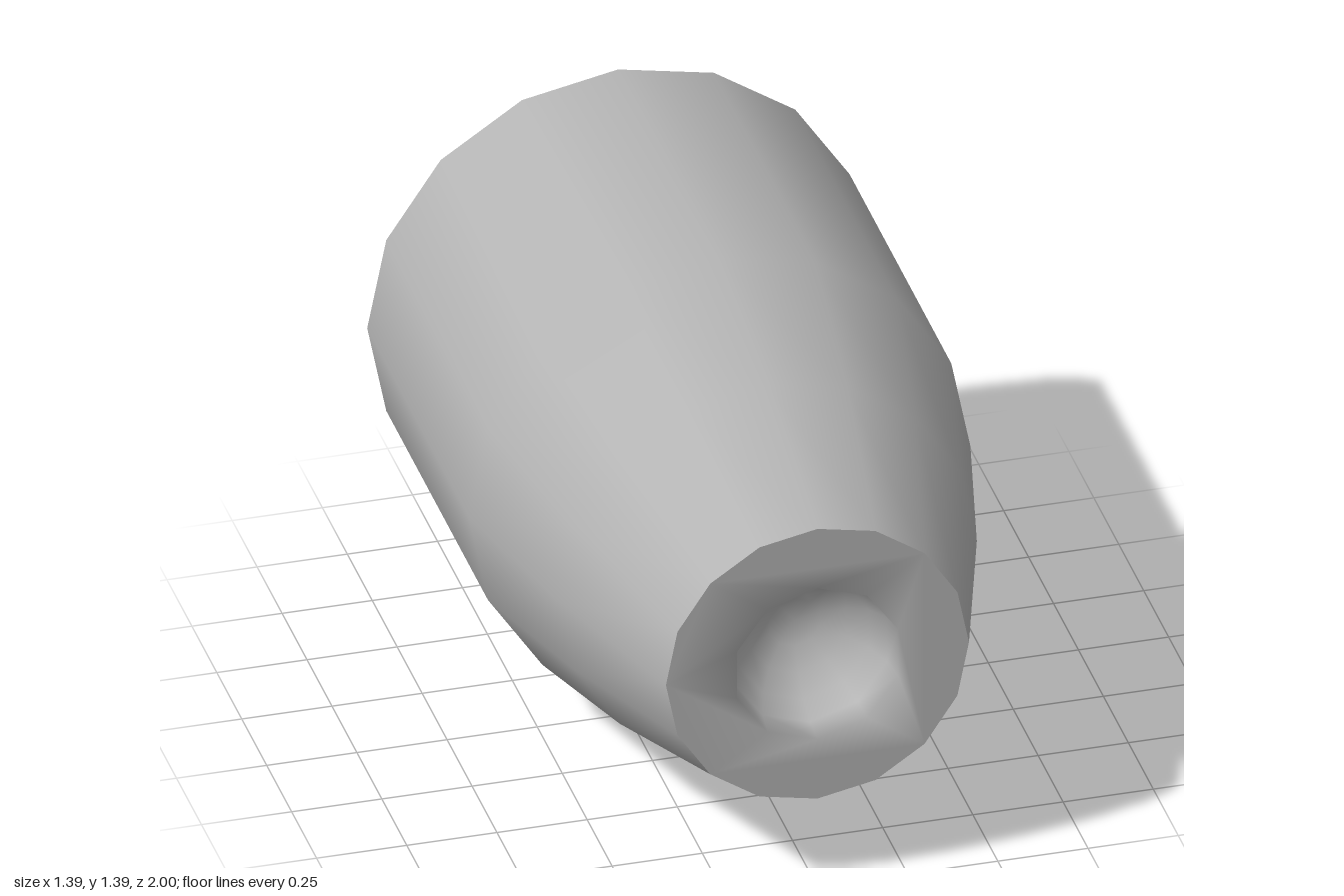
import * as THREE from 'three';
import { mergeGeometries, mergeVertices } from 'three/addons/utils/BufferGeometryUtils.js';

const RADIUS = 0.695, TIP = 0.42, HOLE = 0.235;

// Regular polygon points with one corner at the bottom
function ring(radius, sides) {
  return Array.from({ length: sides }, (_, i) => {
    const a = (i / sides) * Math.PI * 2;
    return new THREE.Vector2(Math.sin(a) * radius, -Math.cos(a) * radius);
  });
}

// Lathe about the z axis from [radius, z] pairs
function latheZ(profile, sides) {
  const points = profile.map(([r, z]) => new THREE.Vector2(r, z));
  return new THREE.LatheGeometry(points, sides).rotateX(Math.PI / 2);
}

export function createModel() {
  const group = new THREE.Group();
  const metal = new THREE.MeshStandardMaterial({ color: 0xb4b4b4 });
  metal.name = 'grey metal';
  const add = (name, geometry) => {
    const mesh = new THREE.Mesh(geometry, metal);
    mesh.name = name;
    mesh.position.y = RADIUS;
    group.add(mesh);
  };

  // Straight body with a tapering nose
  add('body', latheZ([[RADIUS, -1], [RADIUS, 0.02], [0.58, 0.5], [TIP, 1]], 16));

  // Flat base
  add('base', new THREE.CircleGeometry(RADIUS, 16).rotateY(Math.PI).translate(0, 0, -1));

  // Flat tip blending smoothly into a rounded hollow
  const shape = new THREE.Shape(ring(TIP, 16));
  shape.holes.push(new THREE.Path(ring(HOLE, 10)));
  const rim = new THREE.ShapeGeometry(shape).translate(0, 0, 1);
  const profile = [];
  for (let i = 0; i <= 5; i++) {
    const a = (i / 5) * Math.PI / 2;
    profile.push([i === 5 ? 0 : HOLE * Math.cos(a), 1 - HOLE * Math.sin(a)]);
  }
  const parts = [rim, latheZ(profile, 10)].map((g) => {
    g.deleteAttribute('normal');
    g.deleteAttribute('uv');
    return g.toNonIndexed();
  });
  const hollow = mergeVertices(mergeGeometries(parts), 1e-4);
  hollow.computeVertexNormals();
  add('hollowTip', hollow);

  return group;
}
